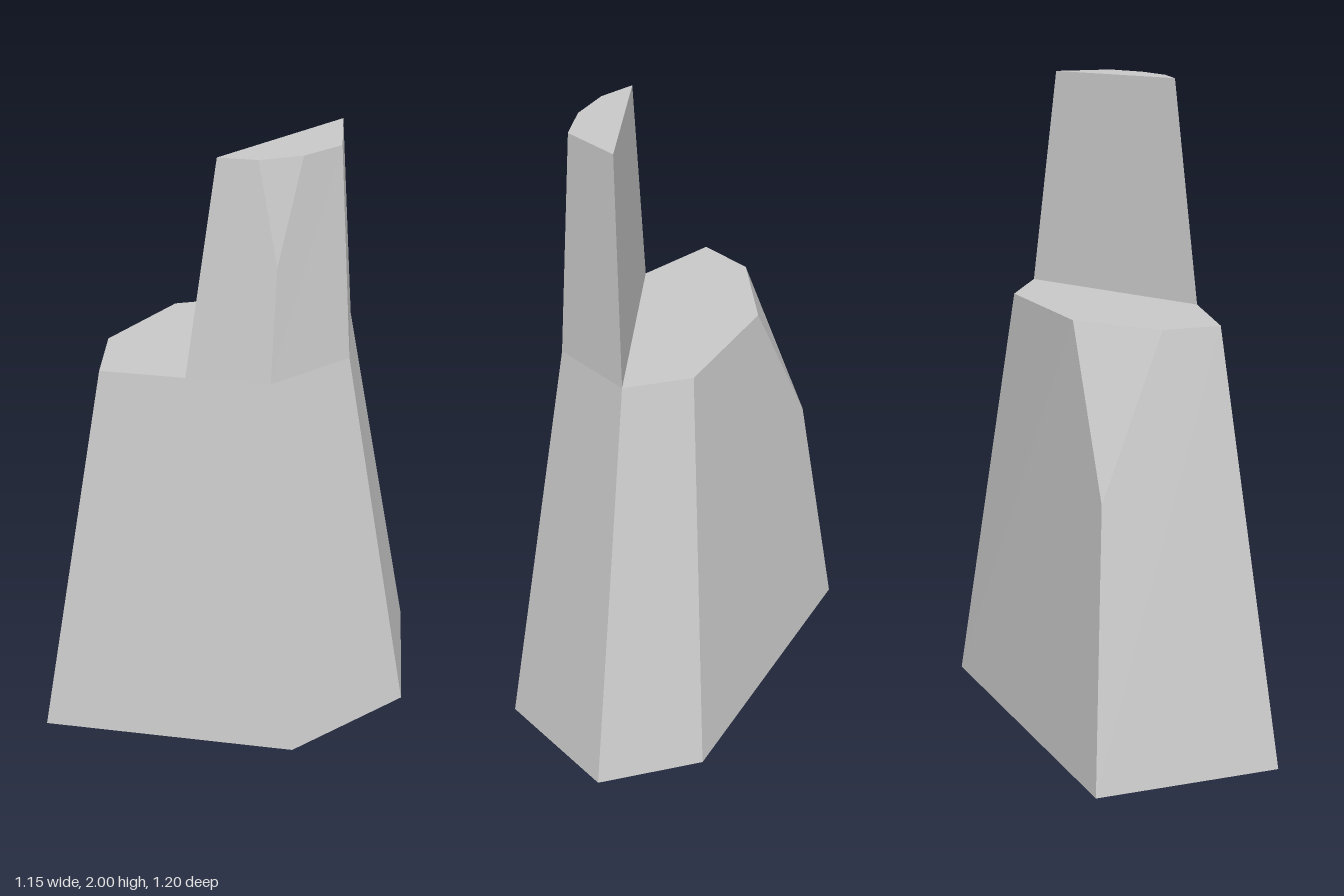
import * as THREE from 'three';

// Named corners; base ring runs A-F clockwise seen from above.
const P = {
  A: [-0.575, 0, -0.315], B: [-0.08, 0, -0.6], C: [0.575, 0, 0.05],
  D: [0.575, 0, 0.39], E: [0.21, 0, 0.597], F: [-0.2, 0, 0.42],
  // ledge level
  a: [-0.345, 1.34, -0.19], c: [0.345, 1.34, 0.03], d: [0.345, 1.34, 0.233],
  e: [0.127, 1.34, 0.36], f: [-0.12, 1.34, 0.25], g: [-0.232, 1.34, 0.033],
  // chipped back corner
  chipLow: [-0.06, 0.86, -0.445], chipA: [-0.195, 1.34, -0.277], chipC: [0.08, 1.34, -0.235],
  // spire top and its chipped front corner
  gTop: [-0.145, 2, 0.083], dTop: [0.257, 2, 0.222], eTop: [0.108, 2, 0.31],
  nickLow: [-0.09, 1.7, 0.243], nickG: [-0.095, 2, 0.18], nickE: [-0.005, 2, 0.262],
};

// Flat-sided mesh from polygons, each listed anticlockwise from outside.
function facets(name, faces, material) {
  const pos = [];
  for (const face of faces) {
    const k = face.split(' ');
    for (let i = 1; i < k.length - 1; i++) pos.push(...P[k[0]], ...P[k[i]], ...P[k[i + 1]]);
  }
  const geo = new THREE.BufferGeometry();
  geo.setAttribute('position', new THREE.Float32BufferAttribute(pos, 3));
  geo.computeVertexNormals();
  const mesh = new THREE.Mesh(geo, material);
  mesh.name = name;
  return mesh;
}

export function createModel() {
  const group = new THREE.Group();
  group.name = 'rockPillar';
  const stone = new THREE.MeshStandardMaterial({ color: 0xcccccc, flatShading: true });

  // Broad tapering base with a ledge at the back
  group.add(facets('rockBase', [
    'A B C D E F',
    'B A a chipA chipLow',
    'C B chipLow chipC c',
    'D C c d',
    'E D d e',
    'F E e f',
    'A F f g a',
    'chipLow chipA chipC',
    'a g d c chipC chipA',
  ], stone));

  // Taller spire rising from the front half
  group.add(facets('rockSpire', [
    'd g gTop dTop',
    'e d dTop eTop',
    'f e eTop nickE nickLow',
    'g f nickLow nickG gTop',
    'nickLow nickE nickG',
    'gTop nickG nickE eTop dTop',
  ], stone));

  return group;
}
